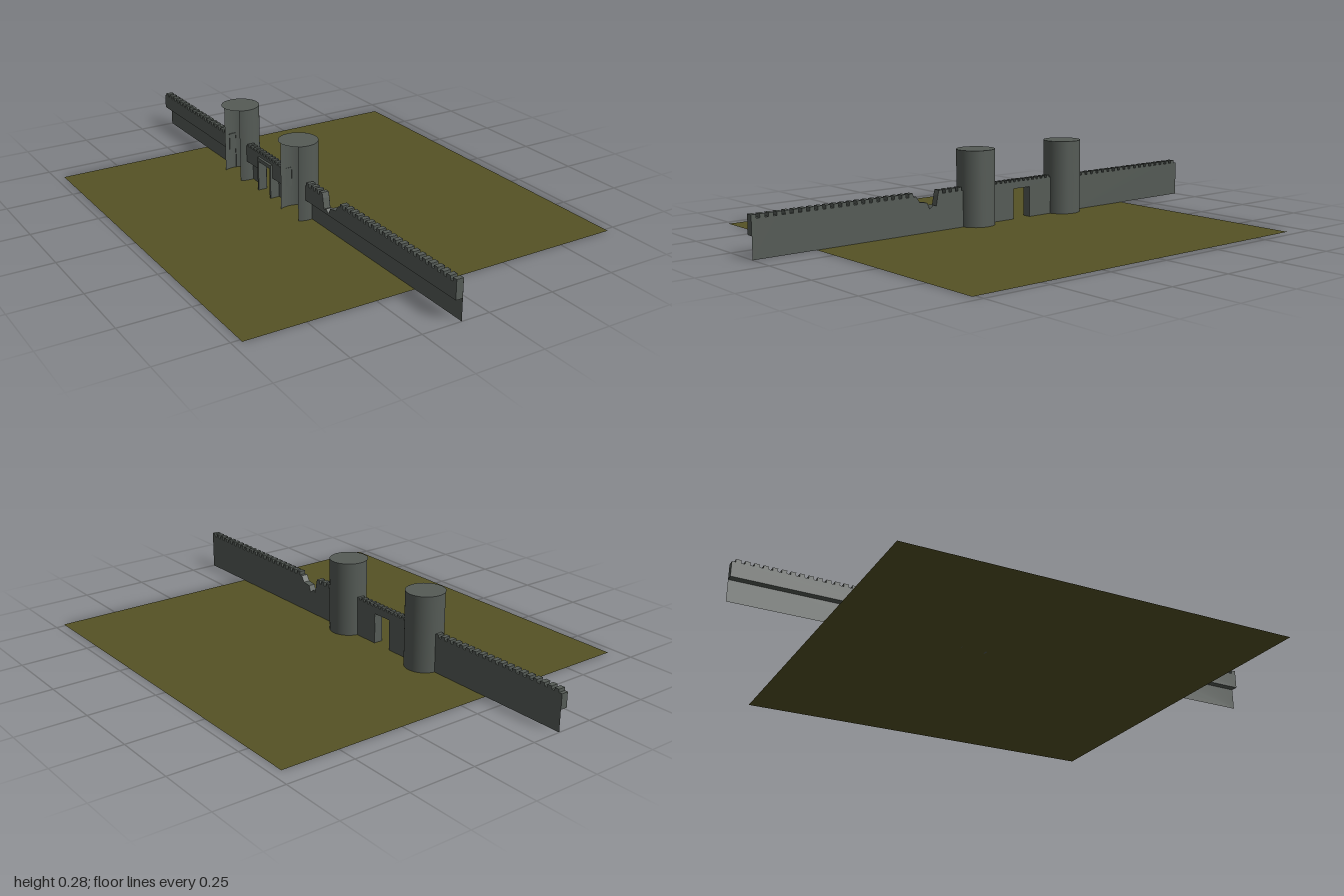
import * as THREE from 'three';

const stone = new THREE.MeshStandardMaterial({ color: 0x555b56, side: THREE.DoubleSide });
stone.name = 'grey stone';
const grass = new THREE.MeshStandardMaterial({ color: 0x555225, side: THREE.DoubleSide });
grass.name = 'olive ground';

const WALK = 0.026;   // walkway depth behind the wall face
const LEDGE = 0.078;  // underside of the walkway

// Crenellated top edge from u0 to u1 (u = -z)
function crenels(u0, u1, n, low, high) {
  const pts = [], step = (u1 - u0) / n;
  for (let i = 0; i < n; i++) {
    const a = u0 + i * step, b = a + step * 0.58;
    pts.push([a, high], [b, high], [b, low], [a + step, low]);
  }
  return pts;
}

function outline(top, bottom) {
  return new THREE.Shape([...bottom, ...top.slice().reverse()].map(p => new THREE.Vector2(...p)));
}

// Stand a (u, y) geometry up along z and follow the slight skew of the wall line
function place(geo, back) {
  geo.rotateY(Math.PI / 2).translate(-0.108 - back, 0, 0);
  const p = geo.attributes.position;
  for (let i = 0; i < p.count; i++) p.setX(i, p.getX(i) + p.getZ(i) * 0.003);
  geo.computeVertexNormals();
  return geo;
}

// Thin wall face with a thick crenellated walkway behind its top
function wall(name, top, foot) {
  const g = new THREE.Group();
  g.name = name;
  const u0 = top[0][0], u1 = top[top.length - 1][0];
  const face = new THREE.Mesh(place(new THREE.ShapeGeometry(outline(top, foot)), -0.0003), stone);
  face.name = name + 'Face';
  const band = outline(top, [[u0, LEDGE], ...(foot.length > 2 ? foot.slice(1, -1).map(([u, y]) => [u, Math.max(y, LEDGE)]) : []), [u1, LEDGE]]);
  const walk = new THREE.Mesh(
    place(new THREE.ExtrudeGeometry(band, { depth: WALK, bevelEnabled: false }), WALK), stone);
  walk.name = name + 'Walkway';
  g.add(face, walk);
  return g;
}

// Tower: shell open at the back, with a flat round roof
function tower(name, z) {
  const g = new THREE.Group();
  g.name = name;
  const r = 0.071, h = 0.28, half = 2.12;
  const shell = new THREE.Mesh(
    new THREE.CylinderGeometry(r, r, h, 32, 1, true, Math.PI / 2 - half, half * 2), stone);
  shell.position.y = h / 2;
  shell.name = name + 'Shell';
  const roof = new THREE.Mesh(new THREE.CircleGeometry(r, 40).rotateX(-Math.PI / 2), stone);
  roof.position.y = h;
  roof.name = name + 'Roof';
  g.add(shell, roof);
  g.position.set(-0.121, 0, z);
  return g;
}

export function createModel() {
  const model = new THREE.Group();
  model.name = 'castleWall';

  const ground = new THREE.Mesh(new THREE.PlaneGeometry(1.432, 1.436).rotateX(-Math.PI / 2), grass);
  ground.position.set(-0.002, 0, 0.045);
  ground.name = 'ground';
  model.add(ground);

  model.add(tower('frontTower', 0.076), tower('rearTower', -0.352));

  // Front wall with a breach in its top
  const breach = [[-0.34, 0.112], [-0.307, 0.107], [-0.297, 0.083],
    [-0.28, 0.096], [-0.267, 0.091], [-0.26, 0.128]];
  model.add(wall('frontWall',
    [...crenels(-1, -0.355, 21, 0.134, 0.147), ...breach, ...crenels(-0.255, -0.141, 4, 0.134, 0.147)],
    [[-1, 0], [-0.141, 0]]));

  model.add(wall('rearWall', crenels(0.418, 1, 19, 0.132, 0.143), [[0.418, 0], [1, 0]]));

  // Gate wall between the towers
  model.add(wall('gateWall', crenels(-0.007, 0.284, 13, 0.141, 0.149),
    [[-0.007, 0], [0.094, 0], [0.094, 0.115], [0.176, 0.115], [0.176, 0], [0.284, 0]]));

  // Gate passage: two jambs and a lintel reaching behind the wall
  const passage = new THREE.Group();
  passage.name = 'gatePassage';
  const part = (name, h, d, y, z) => {
    const m = new THREE.Mesh(new THREE.BoxGeometry(0.034, h, d), stone);
    m.position.set(-0.1262, y, z);
    m.name = name;
    passage.add(m);
  };
  part('leftJamb', 0.115, 0.008, 0.0575, -0.09);
  part('rightJamb', 0.115, 0.008, 0.0575, -0.18);
  part('lintel', 0.014, 0.098, 0.122, -0.135);
  model.add(passage);

  return model;
}
